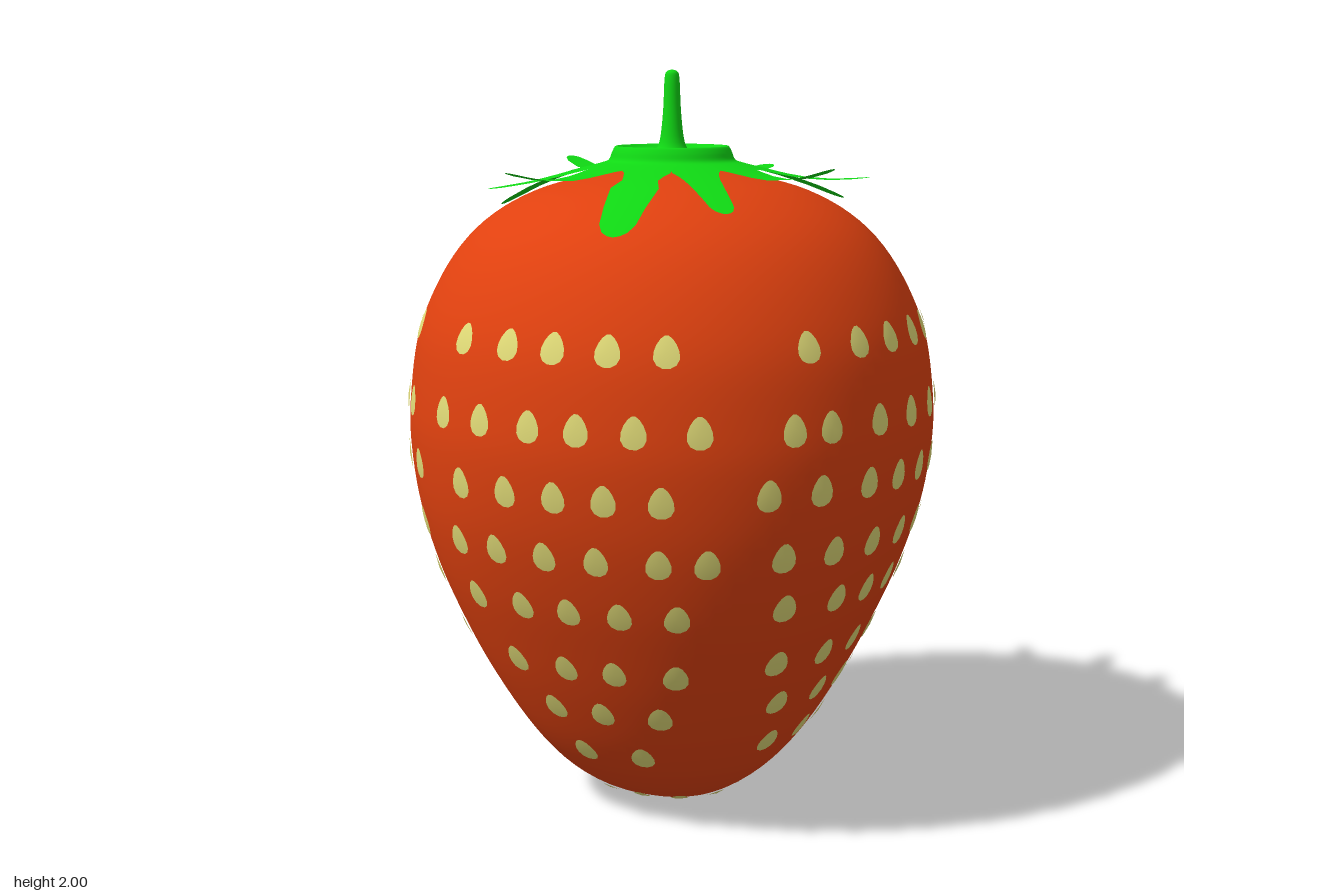
import * as THREE from 'three';
import { mergeVertices } from 'three/addons/utils/BufferGeometryUtils.js';

const mat = (name, color, side = THREE.FrontSide) => {
  const m = new THREE.MeshStandardMaterial({ color, side });
  m.name = name;
  return m;
};

// Fruit outline from bottom to top: radius, height
const outline = new THREE.SplineCurve([
  [0, 0], [0.1, 0.008], [0.2, 0.045], [0.3, 0.12], [0.39, 0.23], [0.48, 0.38],
  [0.555, 0.53], [0.625, 0.69], [0.68, 0.86], [0.707, 1.02], [0.708, 1.14],
  [0.685, 1.3], [0.635, 1.43], [0.565, 1.54], [0.48, 1.62], [0.37, 1.68],
  [0.25, 1.715], [0.12, 1.735], [0, 1.74],
].map(([r, y]) => new THREE.Vector2(r, y)));
outline.arcLengthDivisions = 600;

// The lower half is slightly squared, with faces towards +-x and +-z
const squareness = (theta, y) =>
  1 - 0.024 * (1 - THREE.MathUtils.smoothstep(y, 0.4, 1.2)) * (Math.cos(4 * theta) - 1);

function surfacePoint(s, theta, lift) {
  const p = outline.getPointAt(s);
  const t = outline.getTangentAt(s);
  const k = squareness(theta, p.y);
  const r = p.x * k + t.y * lift;
  return [r * Math.sin(theta), p.y - t.x * lift, r * Math.cos(theta)];
}

function meshFrom(name, positions, indices, material) {
  const g = new THREE.BufferGeometry();
  g.setAttribute('position', new THREE.Float32BufferAttribute(positions, 3));
  g.setIndex(indices);
  g.computeVertexNormals();
  const m = new THREE.Mesh(g, material);
  m.name = name;
  return m;
}

function makeFruit(material) {
  const pts = outline.getSpacedPoints(80).map((p) => new THREE.Vector2(Math.max(0, p.x), p.y));
  let g = new THREE.LatheGeometry(pts, 96);
  const pos = g.attributes.position;
  for (let i = 0; i < pos.count; i++) {
    const x = pos.getX(i), y = pos.getY(i), z = pos.getZ(i);
    const k = squareness(Math.atan2(x, z), y);
    pos.setXYZ(i, x * k, y, z * k);
  }
  g.deleteAttribute('uv');
  g.deleteAttribute('normal');
  g = mergeVertices(g, 1e-5);
  g.computeVertexNormals();
  const m = new THREE.Mesh(g, material);
  m.name = 'fruit';
  return m;
}

// Seed rows on a face: height, then sideways positions
const frontRows = [
  [1.34, -0.29, -0.14, -0.01, 0.13, 0.265],
  [1.15, -0.355, -0.215, -0.065, 0.065, 0.205, 0.35],
  [0.98, -0.29, -0.14, 0, 0.13, 0.265],
  [0.82, -0.32, -0.19, -0.045, 0.095, 0.245, 0.35],
  [0.67, -0.29, -0.14, -0.005, 0.13, 0.265],
  [0.495, -0.205, -0.055, 0.08, 0.23],
  [0.36, -0.125, 0.015, 0.165],
  [0.22, -0.08, 0.085],
  [0.045, -0.1, 0, 0.1],
];
const sideRows = [
  [1.34, -0.4, -0.26, -0.135, 0.005, 0.135, 0.265, 0.395],
  [1.145, -0.465, -0.38, -0.23, -0.08, 0.075, 0.205, 0.365, 0.49],
  [0.99, -0.51, -0.4, -0.26, -0.135, 0, 0.13, 0.27, 0.395, 0.53],
  [0.825, -0.45, -0.33, -0.195, -0.05, 0.095, 0.245, 0.37, 0.5],
  [0.685, -0.4, -0.26, -0.135, 0, 0.13, 0.27, 0.395],
  [0.52, -0.34, -0.2, -0.05, 0.085, 0.235, 0.37],
  [0.39, -0.265, -0.115, 0.025, 0.17, 0.32],
  [0.255, -0.195, -0.05, 0.085, 0.24],
  [0.045, -0.1, 0, 0.1],
];

// Arc-length position on the outline at a given height
function paramAt(y) {
  let a = 0, b = 1;
  for (let i = 0; i < 24; i++) {
    const m = (a + b) / 2;
    if (outline.getPointAt(m).y < y) a = m; else b = m;
  }
  return a;
}

function makeSeeds(material) {
  const positions = [], indices = [];
  const sides = 14, length = outline.getLength();
  for (let face = 0; face < 4; face++) {
    const mirror = face < 2 ? 1 : -1;
    for (const [y, ...offsets] of face % 2 ? sideRows : frontRows) {
      const s = paramAt(y), r = outline.getPointAt(s).x;
      const size = y < 0.1 ? 0.7 : 1;
      for (const u of offsets) {
        const theta = face * Math.PI / 2 + Math.asin(mirror * u / r);
        const base = positions.length / 3;
        positions.push(...surfacePoint(s, theta, 0.007));
        for (let i = 0; i < sides; i++) {
          // Teardrop, narrower at the top
          const a = i / sides * Math.PI * 2;
          const dx = Math.cos(a) * (0.031 - 0.009 * Math.sin(a)) * size;
          const dy = Math.sin(a) * 0.041 * size;
          positions.push(...surfacePoint(s + dy / length, theta + dx / r, 0.004));
          indices.push(base, base + 1 + i, base + 1 + (i + 1) % sides);
        }
      }
    }
  }
  return meshFrom('seeds', positions, indices, material);
}

// Leaf tips: x, height, z, width factor
const tips = [
  [0.07, 1.73, -0.54, 1.05], [0.335, 1.645, -0.43, 1], [0.505, 1.72, -0.15, 1],
  [0.51, 1.755, 0.145, 1], [0.33, 1.655, 0.41, 1], [0.085, 1.6, 0.54, 1.5],
  [-0.24, 1.745, 0.48, 1], [-0.41, 1.69, 0.275, 1], [-0.52, 1.63, 0.005, 1],
  [-0.455, 1.755, -0.29, 1], [-0.24, 1.745, -0.505, 1],
];

function makeLeaf(i, material) {
  const n = tips.length, full = Math.PI * 2, cols = 6;
  const angle = (k) => Math.atan2(tips[(k + n) % n][0], tips[(k + n) % n][2]);
  const gap = (a, b) => (((a - b) % full) + full) % full / 2;
  const mid = angle(i), up = gap(angle(i - 1), mid), down = gap(mid, angle(i + 1));
  const [x, tipY, z, wide] = tips[i];
  const R = Math.hypot(x, z);
  // Radius and half width of each cross-section; the inner ones fill their sector
  const sections = [
    [0.14, 1], [0.2, 1], [0.235, 1], [0.25, 0.062], [0.275, 0.054], [0.31, 0.047],
    [0.36, 0.042 * wide], [R - 0.1, 0.036 * wide], [R - 0.04, 0.031 * wide],
    [R - 0.015, 0.022 * wide], [R - 0.004, 0.011 * wide], [R, 0],
  ];
  const positions = [], indices = [];
  sections.forEach(([r, w], row) => {
    const half = Math.asin(Math.min(1, w / r));
    const lo = mid - Math.min(half, down), hi = mid + Math.min(half, up);
    const t = Math.max(0, (r - 0.25) / (R - 0.25));
    const y = r < 0.25
      ? THREE.MathUtils.mapLinear(r, 0.14, 0.25, 1.767, 1.74)
      : THREE.MathUtils.lerp(1.74, tipY, t) - (tipY - 1.67) * 0.3 * Math.sin(Math.PI * t);
    for (let c = 0; c <= cols; c++) {
      const a = THREE.MathUtils.lerp(lo, hi, c / cols);
      positions.push(r * Math.sin(a), y, r * Math.cos(a));
      if (row && c) {
        const q = row * (cols + 1) + c, p = q - cols - 1;
        indices.push(p - 1, q - 1, p, p, q - 1, q);
      }
    }
  });
  return meshFrom('leaf', positions, indices, material);
}

// Dished collar flowing up into the stem
function makeStem(material) {
  const curve = new THREE.SplineCurve([
    [0.195, 1.754], [0.17, 1.763], [0.16, 1.785], [0.15, 1.8], [0.136, 1.79],
    [0.1, 1.775], [0.055, 1.782], [0.034, 1.81], [0.024, 1.89], [0.02, 1.975],
    [0.014, 1.995], [0, 2],
  ].map(([r, y]) => new THREE.Vector2(r, y)));
  const pts = curve.getPoints(44).map((p) => new THREE.Vector2(Math.max(0, p.x), Math.min(2, p.y)));
  const m = new THREE.Mesh(new THREE.LatheGeometry(pts, 40), material);
  m.name = 'stemAndCollar';
  return m;
}

export function createModel() {
  const red = mat('fruit red', 0xe0410f);
  const yellow = mat('seed yellow', 0xe2dc78);
  const green = mat('leaf green', 0x10d914, THREE.DoubleSide);

  const model = new THREE.Group();
  model.name = 'strawberry';
  const leaves = new THREE.Group();
  leaves.name = 'leaves';
  tips.forEach((_, i) => leaves.add(makeLeaf(i, green)));
  model.add(makeFruit(red), makeSeeds(yellow), leaves, makeStem(green));
  return model;
}
